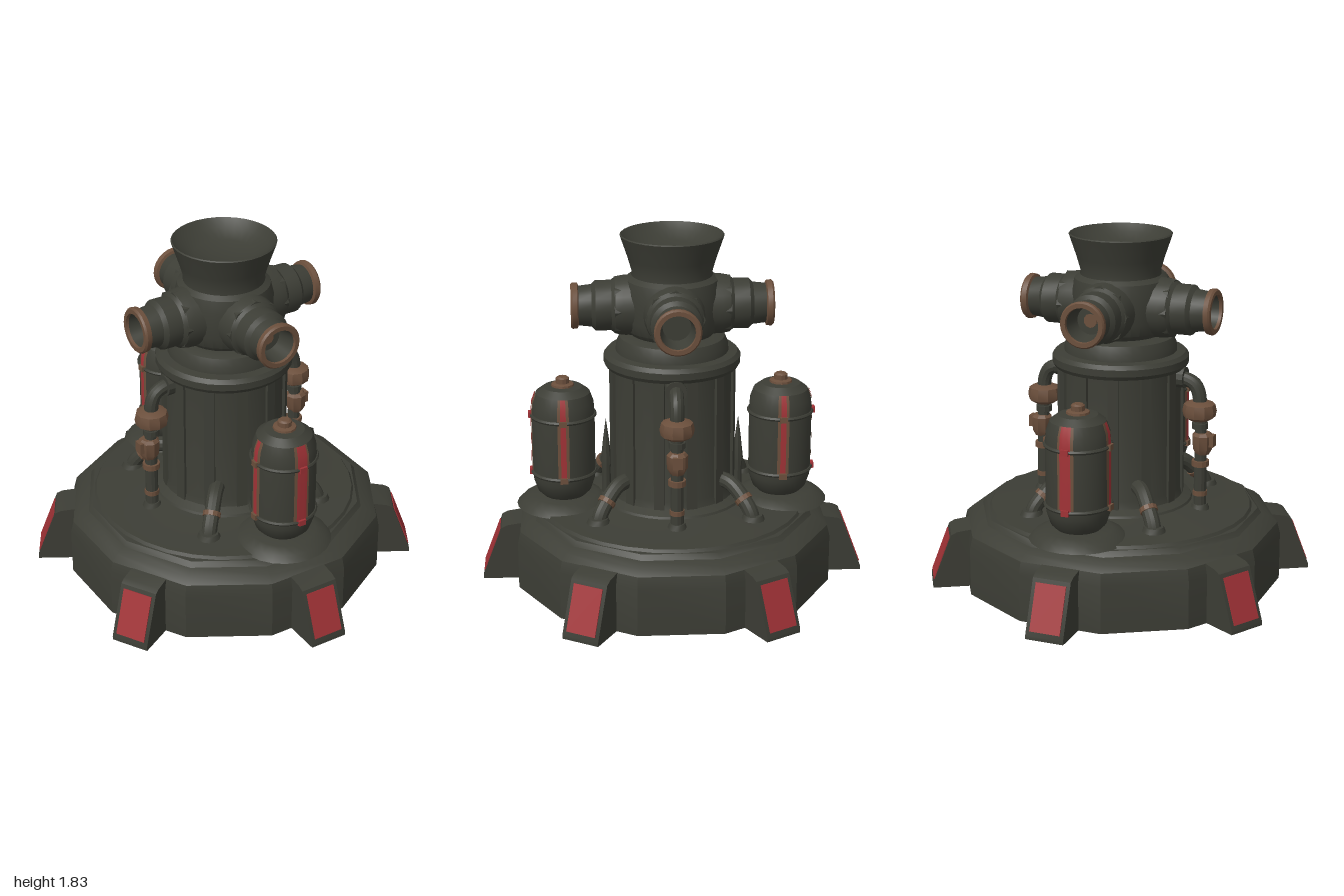
import * as THREE from 'three';
import { toCreasedNormals } from 'three/addons/utils/BufferGeometryUtils.js';

const mat = (name, color) => {
  const m = new THREE.MeshStandardMaterial({ color });
  m.name = name;
  return m;
};

export function createModel() {
  const iron = mat('dark iron', 0x3c3d35);
  const rust = mat('rusty brown', 0x6b4f3c);
  const red = mat('faded red', 0xa03236);

  const model = new THREE.Group();
  model.name = 'pumpTower';

  const add = (parent, name, geo, material, x = 0, y = 0, z = 0) => {
    const mesh = new THREE.Mesh(toCreasedNormals(geo, 0.5), material);
    mesh.name = name;
    mesh.position.set(x, y, z);
    parent.add(mesh);
    return mesh;
  };
  const group = (parent, name) => {
    const g = new THREE.Group();
    g.name = name;
    parent.add(g);
    return g;
  };
  const lathe = (pts, seg = 32, start = 0, len = Math.PI * 2) =>
    new THREE.LatheGeometry(pts.map(([r, y]) => new THREE.Vector2(r, y)), seg, start, len);
  const tube = (pts, r, seg = 16) =>
    new THREE.TubeGeometry(new THREE.CatmullRomCurve3(pts.map(p => new THREE.Vector3(...p))), seg, r, 12);
  const deg = THREE.MathUtils.degToRad;

  // Twelve-sided base with flats facing the axes
  const base = add(model, 'base', lathe([
    [0, 0], [0.84, 0], [0.84, 0.25], [0.825, 0.31], [0.79, 0.34], [0.74, 0.36], [0.72, 0.385], [0, 0.385],
  ], 12), iron);
  base.rotation.y = deg(15);
  add(model, 'deck', lathe([[0.7, 0.37], [0.68, 0.4], [0.5, 0.41], [0.4, 0.425], [0.3, 0.44]]), iron);

  // Six sloped feet with red panels
  const footShape = new THREE.Shape([
    [0.74, 0], [1, 0], [1, 0.02], [0.9, 0.285], [0.87, 0.3], [0.74, 0.32],
  ].map(p => new THREE.Vector2(...p)));
  const footGeo = new THREE.ExtrudeGeometry(footShape, { depth: 0.2, bevelEnabled: false });
  footGeo.translate(0, 0, -0.1);
  for (let i = 0; i < 6; i++) {
    const foot = group(model, 'foot');
    foot.rotation.y = deg(30 + i * 60);
    add(foot, 'footBody', footGeo, iron);
    const panel = add(foot, 'footPanel', new THREE.BoxGeometry(0.008, 0.24, 0.16), red, 0.951, 0.153, 0);
    panel.rotation.z = Math.atan2(0.1, 0.265);
  }

  // Central column, collar and neck
  add(model, 'column', lathe([
    [0.39, 0.4], [0.37, 0.44], [0.325, 0.46], [0.315, 0.5], [0.315, 1.15],
  ]), iron);
  for (let i = 0; i < 12; i++) {
    const a = deg(15 + i * 30);
    const rib = add(model, 'columnRib', new THREE.BoxGeometry(0.055, 0.7, 0.03), iron,
      Math.sin(a) * 0.312, 0.8, Math.cos(a) * 0.312);
    rib.rotation.y = a;
  }
  add(model, 'collar', lathe([
    [0.3, 1.14], [0.34, 1.145], [0.352, 1.165], [0.352, 1.2], [0.335, 1.22], [0.29, 1.225],
    [0.287, 1.26], [0.27, 1.3], [0.23, 1.315], [0.2, 1.315],
  ]), iron);

  // Nozzle head
  add(model, 'head', lathe([
    [0, 1.3], [0.2, 1.3], [0.235, 1.34], [0.25, 1.4], [0.25, 1.54], [0.235, 1.6], [0.2, 1.625], [0, 1.625],
  ]), iron);
  const arm = lathe([
    [0.16, 0.1], [0.152, 0.25], [0.145, 0.29], [0.128, 0.31], [0.128, 0.39], [0.108, 0.41], [0.1, 0.48],
  ], 24);
  const rim = lathe([
    [0.1, 0.475], [0.115, 0.48], [0.118, 0.505], [0.11, 0.515], [0.088, 0.515], [0.085, 0.49],
  ], 24);
  const bore = lathe([[0.086, 0.5], [0.07, 0.4], [0, 0.4]], 24);
  for (let i = 0; i < 4; i++) {
    const turn = group(model, 'nozzle');
    turn.rotation.y = i * Math.PI / 2;
    turn.position.y = 1.46;
    const n = group(turn, 'nozzleParts');
    n.rotation.x = Math.PI / 2;
    add(n, 'nozzleArm', arm, iron);
    add(n, 'nozzleHex', new THREE.CylinderGeometry(0.15, 0.15, 0.05, 8), iron, 0, 0.27, 0);
    add(n, 'nozzleRim', rim, rust);
    add(n, 'nozzleBore', bore, iron);
    if (i % 2 === 0) add(n, 'nozzleStain', new THREE.CylinderGeometry(0.035, 0.035, 0.006, 10), rust, 0, 0.403, 0);
  }

  // Flared funnel with a shallow bowl
  add(model, 'funnel', lathe([
    [0.21, 1.59], [0.205, 1.64], [0.225, 1.71], [0.264, 1.825], [0.258, 1.83],
    [0.22, 1.79], [0.15, 1.755], [0.07, 1.74], [0, 1.737],
  ]), iron);

  // Front and back tanks
  const tankProfile = [
    [0, 0.42], [0.1, 0.43], [0.14, 0.47], [0.16, 0.53], [0.163, 0.57], [0.163, 0.89],
    [0.158, 0.95], [0.14, 1], [0.1, 1.03], [0, 1.04],
  ];
  const stripe = (out, width, from, to) =>
    lathe(tankProfile.slice(from, to).map(([r, y]) => [r + out, y + out * 0.5]), 3, -width / 2, width);
  for (const side of [0, 1]) {
    const turn = group(model, side ? 'backTank' : 'frontTank');
    turn.rotation.y = side * Math.PI;
    const tank = group(turn, 'tankParts');
    tank.position.z = 0.565;
    add(tank, 'tankMound', lathe([[0.25, 0.39], [0.22, 0.42], [0.17, 0.44], [0, 0.445]], 24), iron);
    add(tank, 'tankBody', lathe(tankProfile), iron);
    for (const y of [0.57, 0.88]) {
      add(tank, 'tankBand', new THREE.TorusGeometry(0.163, 0.011, 6, 32).rotateX(Math.PI / 2), iron, 0, y, 0);
    }
    add(tank, 'tankValve', lathe([
      [0.06, 1.03], [0.058, 1.045], [0.035, 1.05], [0.035, 1.075], [0.025, 1.083], [0, 1.083],
    ], 12), rust);
    // Painted stripes with worn edges, wrapped over the bands
    for (const a of [-90, 0, 90]) {
      const paint = group(tank, 'tankStripe');
      paint.rotation.y = deg(a);
      const main = a === 0;
      add(paint, 'stripeEdge', stripe(0.003, main ? 0.52 : 0.36, 4, 8), rust);
      add(paint, 'stripePaint', stripe(0.006, main ? 0.34 : 0.17, 4, 8), red);
      for (const y of [0.57, 0.88]) {
        add(paint, 'stripeClip', new THREE.BoxGeometry(0.04, 0.03, 0.024), main ? red : rust, 0, y, 0.168);
      }
    }
    // Pointed bracket between tank and column
    add(turn, 'bracketSpike', lathe([
      [0, 0.4], [0.025, 0.42], [0.022, 0.57], [0.028, 0.62], [0.015, 0.74], [0, 0.85],
    ], 8), iron, 0, 0, 0.345);
  }

  // Side pipes with valves, mirrored left and right
  for (const s of [1, -1]) {
    const pipe = group(model, s > 0 ? 'leftPipe' : 'rightPipe');
    add(pipe, 'upperPipe', tube([
      [s * 0.29, 1.105, 0], [s * 0.35, 1.1, 0], [s * 0.405, 1.075, 0], [s * 0.43, 1.02, 0], [s * 0.432, 0.93, 0],
    ], 0.036), iron);
    add(pipe, 'wallFlange', new THREE.CylinderGeometry(0.055, 0.055, 0.04, 12).rotateZ(Math.PI / 2), iron, s * 0.335, 1.105, 0);
    add(pipe, 'lowerPipe', new THREE.CylinderGeometry(0.03, 0.034, 0.56, 12), iron, s * 0.44, 0.68, 0);
    add(pipe, 'valveWheel', lathe([
      [0, 0.89], [0.05, 0.89], [0.082, 0.91], [0.088, 0.94], [0.08, 0.975], [0.045, 0.99], [0, 0.99],
    ], 10), rust, s * 0.432, 0, 0);
    add(pipe, 'pipeJoint', new THREE.CylinderGeometry(0.042, 0.042, 0.03, 12), iron, s * 0.436, 0.86, 0);
    add(pipe, 'valveBody', lathe([
      [0, 0.71], [0.035, 0.71], [0.052, 0.74], [0.055, 0.81], [0.04, 0.825], [0, 0.825],
    ], 8), rust, s * 0.45, 0, 0);
    add(pipe, 'valveKnob', new THREE.BoxGeometry(0.03, 0.06, 0.05), rust, s * 0.5, 0.785, 0);
    add(pipe, 'pipeRing', new THREE.CylinderGeometry(0.045, 0.045, 0.03, 12), rust, s * 0.44, 0.66, 0);
    add(pipe, 'pipeRing', new THREE.CylinderGeometry(0.038, 0.038, 0.025, 12), rust, s * 0.44, 0.5, 0);
    add(pipe, 'pipeFoot', new THREE.CylinderGeometry(0.04, 0.055, 0.04, 12), iron, s * 0.44, 0.42, 0);

    // Diagonal drain pipes at the column foot
    for (const t of [1, -1]) {
      const drain = group(model, 'drainPipe');
      add(drain, 'drainTube', tube([
        [s * 0.18, 0.575, t * 0.23], [s * 0.235, 0.565, t * 0.29], [s * 0.29, 0.5, t * 0.35],
        [s * 0.325, 0.44, t * 0.385], [s * 0.335, 0.39, t * 0.395],
      ], 0.04), iron);
      const cuff = add(drain, 'drainCuff', new THREE.CylinderGeometry(0.046, 0.046, 0.025, 12), rust,
        s * 0.29, 0.5, t * 0.35);
      cuff.quaternion.setFromUnitVectors(new THREE.Vector3(0, 1, 0),
        new THREE.Vector3(s * 0.09, -0.125, t * 0.095).normalize());
      add(drain, 'drainFoot', new THREE.CylinderGeometry(0.05, 0.065, 0.035, 12), iron, s * 0.335, 0.415, t * 0.395);
    }
  }
  return model;
}
